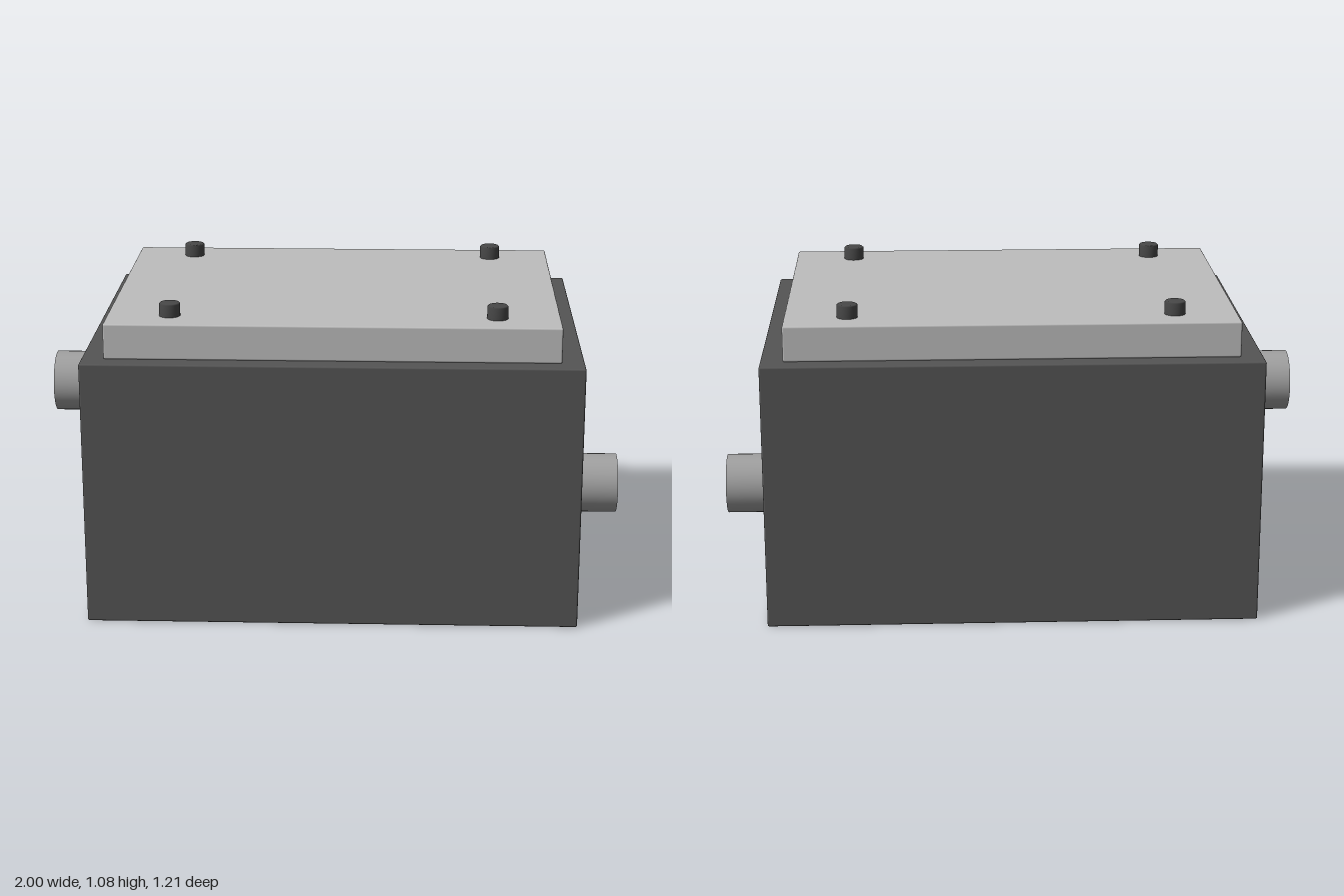
import * as THREE from 'three';
import { RoundedBoxGeometry } from 'three/addons/geometries/RoundedBoxGeometry.js';

const material = (name, color) => {
  const m = new THREE.MeshStandardMaterial({ color });
  m.name = name;
  return m;
};

export function createModel() {
  const group = new THREE.Group();
  group.name = 'junctionBox';
  const darkGrey = material('darkGrey', 0x555555);
  const lightGrey = material('lightGrey', 0xbebebe);
  const midGrey = material('midGrey', 0xa0a0a0);
  const charcoal = material('charcoal', 0x484848);

  const add = (name, geometry, mat, x, y, z) => {
    const mesh = new THREE.Mesh(geometry, mat);
    mesh.name = name;
    mesh.position.set(x, y, z);
    group.add(mesh);
    return mesh;
  };

  // Cylinder with a small bevel on both rims; separate lathe pieces keep caps flat
  const bevelled = (r, h, b) => {
    const p = [[0, -h / 2], [r - b, -h / 2], [r, -h / 2 + b], [r, h / 2 - b], [r - b, h / 2], [0, h / 2]];
    return new THREE.LatheGeometry(p.map(([x, y]) => new THREE.Vector2(x, y)), 40);
  };

  // Housing and lid, with finely eased edges
  add('housing', new RoundedBoxGeometry(1.66, 0.91, 1.21, 2, 0.006), darkGrey, 0, 0.455, 0);
  add('lid', new RoundedBoxGeometry(1.51, 0.12, 1.09, 2, 0.006), lightGrey, 0, 0.97, 0);

  // Pipe stubs: high on the right side, low on the left side
  const pipe = new THREE.CylinderGeometry(0.105, 0.105, 0.2, 40);
  for (const [name, side, y] of [['rightPipe', -1, 0.67], ['leftPipe', 1, 0.305]]) {
    add(name, pipe, midGrey, side * 0.9, y, 0).rotation.z = -side * Math.PI / 2;
  }

  // Four lid bolts
  const bolt = bevelled(0.035, 0.065, 0.004);
  for (const x of [-0.545, 0.545]) {
    for (const z of [-0.425, 0.425]) add('lidBolt', bolt, charcoal, x, 1.0425, z);
  }
  return group;
}
